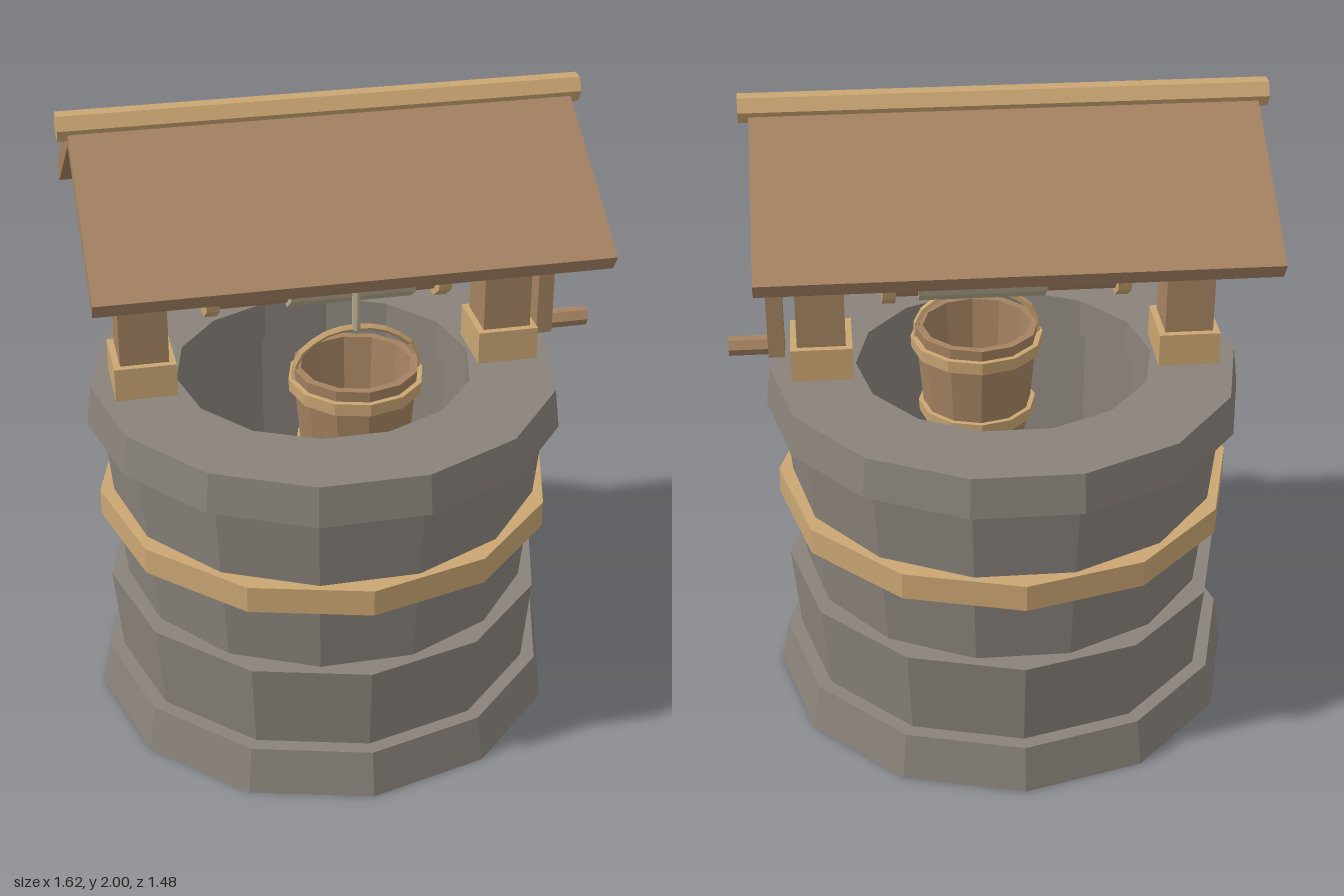
import * as THREE from 'three';

const CX = -0.04; // centre line of the well, posts and roof

function paint(name, color) {
  const m = new THREE.MeshStandardMaterial({ color, flatShading: true });
  m.name = name;
  return m;
}

export function createModel() {
  const stone = paint('stone', 0x8a837b);
  const wood = paint('wood', 0xa58362);
  const paleWood = paint('paleWood', 0xcba673);
  const rope = paint('rope', 0xb9ad8f);
  const model = new THREE.Group();
  model.name = 'well';

  function add(name, geometry, material, x = 0, y = 0, z = 0, parent = model) {
    const mesh = new THREE.Mesh(geometry, material);
    mesh.name = name;
    mesh.position.set(x, y, z);
    parent.add(mesh);
    return mesh;
  }
  // Box given by its lower and upper limits
  function box(name, material, x0, x1, y0, y1, z0, z1) {
    return add(name, new THREE.BoxGeometry(x1 - x0, y1 - y0, z1 - z0), material,
      (x0 + x1) / 2, (y0 + y1) / 2, (z0 + z1) / 2);
  }
  // Turned shape from a profile, running up the outside and down the inside
  function turned(profile, sides) {
    const points = profile.map(([r, y]) => new THREE.Vector2(r, y));
    return new THREE.LatheGeometry(points, sides, Math.PI / 2);
  }
  // Hollow ring with its own lower and upper outer radius
  function ring(y0, y1, r0, r1, inner0, inner1, sides) {
    return turned([[r0, y0], [r1, y1], [inner1, y1], [inner0, y0], [r0, y0]], sides);
  }
  // Cylinder lying along x
  function rod(name, material, x0, x1, y, r, sides, turn = 0) {
    const g = new THREE.CylinderGeometry(r, r, x1 - x0, sides);
    g.rotateY(turn);
    g.rotateZ(Math.PI / 2);
    return add(name, g, material, (x0 + x1) / 2, y, 0);
  }

  // Stone courses and the wooden hoop
  add('baseRing', ring(0, 0.15, 0.74, 0.715, 0.49, 0.49, 12), stone, CX);
  add('lowerCourse', ring(0.15, 0.43, 0.67, 0.695, 0.49, 0.49, 12), stone, CX);
  add('upperWall', ring(0.43, 0.99, 0.64, 0.695, 0.495, 0.495, 14), stone, CX);
  add('rim', ring(0.99, 1.115, 0.74, 0.725, 0.46, 0.46, 14), stone, CX);
  add('wallHoop', ring(0.66, 0.745, 0.715, 0.715, 0.64, 0.64, 12), paleWood, CX);

  // Posts with base blocks and collars
  for (const side of [-1, 1]) {
    const x = CX + side * 0.563;
    box('post', wood, x - 0.074, x + 0.074, 1.11, 1.82, -0.082, 0.082);
    box('postTop', wood, x - 0.055, x + 0.055, 1.82, 1.92, -0.058, 0.058);
    box('postBase', paleWood, x - 0.094, x + 0.094, 1.112, 1.22, -0.103, 0.103);
    box('postCollar', paleWood, x - 0.09, x + 0.09, 1.6, 1.65, -0.093, 0.093);
  }

  // Roof: two sloping boards meeting under a ridge pole
  const slab = new THREE.Shape();
  [[0, 1.967], [0.52, 1.645], [0.485, 1.595], [0, 1.9]].forEach(([z, y], i) =>
    i ? slab.lineTo(z, y) : slab.moveTo(z, y));
  for (const side of [-1, 1]) {
    const g = new THREE.ExtrudeGeometry(slab, { depth: 1.48, bevelEnabled: false });
    g.translate(0, 0, -0.74);
    g.rotateY(side * Math.PI / 2);
    add('roofBoard', g, wood, CX);
  }
  rod('ridgePole', paleWood, -0.81, 0.73, 1.962, 0.043, 6);

  // Windlass
  const axleY = 1.46;
  rod('axle', paleWood, -0.72, 0.66, axleY, 0.035, 8, Math.PI / 8);
  rod('drum', wood, -0.38, 0.3, axleY, 0.109, 8, Math.PI / 8);
  rod('ropeCoil', rope, -0.16, 0.225, axleY, 0.124, 10);
  rod('drumFlange', paleWood, -0.415, -0.375, axleY, 0.13, 10);
  rod('drumFlange', paleWood, 0.295, 0.335, axleY, 0.13, 10);

  // Crank
  box('crankArm', wood, 0.635, 0.685, 1.165, 1.49, -0.035, 0.035);
  rod('crankHandle', wood, 0.68, 0.805, 1.193, 0.03, 6);

  // Bucket hanging inside the rim
  const bucket = new THREE.Group();
  bucket.name = 'bucket';
  bucket.position.set(0.035, 0, 0.12);
  model.add(bucket);
  add('bucketStaves', turned([[0, 0.83], [0.165, 0.83], [0.195, 1.175], [0.17, 1.175],
    [0.145, 0.86], [0, 0.86]], 12), wood, 0, 0, 0, bucket);
  add('bucketHoop', ring(1.1, 1.14, 0.207, 0.209, 0.18, 0.18, 12), paleWood, 0, 0, 0, bucket);
  add('bucketHoop', ring(0.87, 0.91, 0.184, 0.187, 0.155, 0.16, 12), paleWood, 0, 0, 0, bucket);

  // Bail handle and hanging rope
  const arc = [[-0.19, 1.14], [-0.185, 1.2], [-0.165, 1.23], [-0.09, 1.28], [0, 1.295],
    [0.09, 1.28], [0.165, 1.23], [0.185, 1.2], [0.19, 1.14]];
  const bail = new THREE.CatmullRomCurve3(arc.map(([x, y]) => new THREE.Vector3(x, y, 0)));
  add('bucketBail', new THREE.TubeGeometry(bail, 12, 0.011, 5), paleWood, 0, 0, 0, bucket);
  add('hangingRope', new THREE.CylinderGeometry(0.013, 0.013, 0.17, 6), rope, 0, 1.375, 0.005, bucket);

  return model;
}
